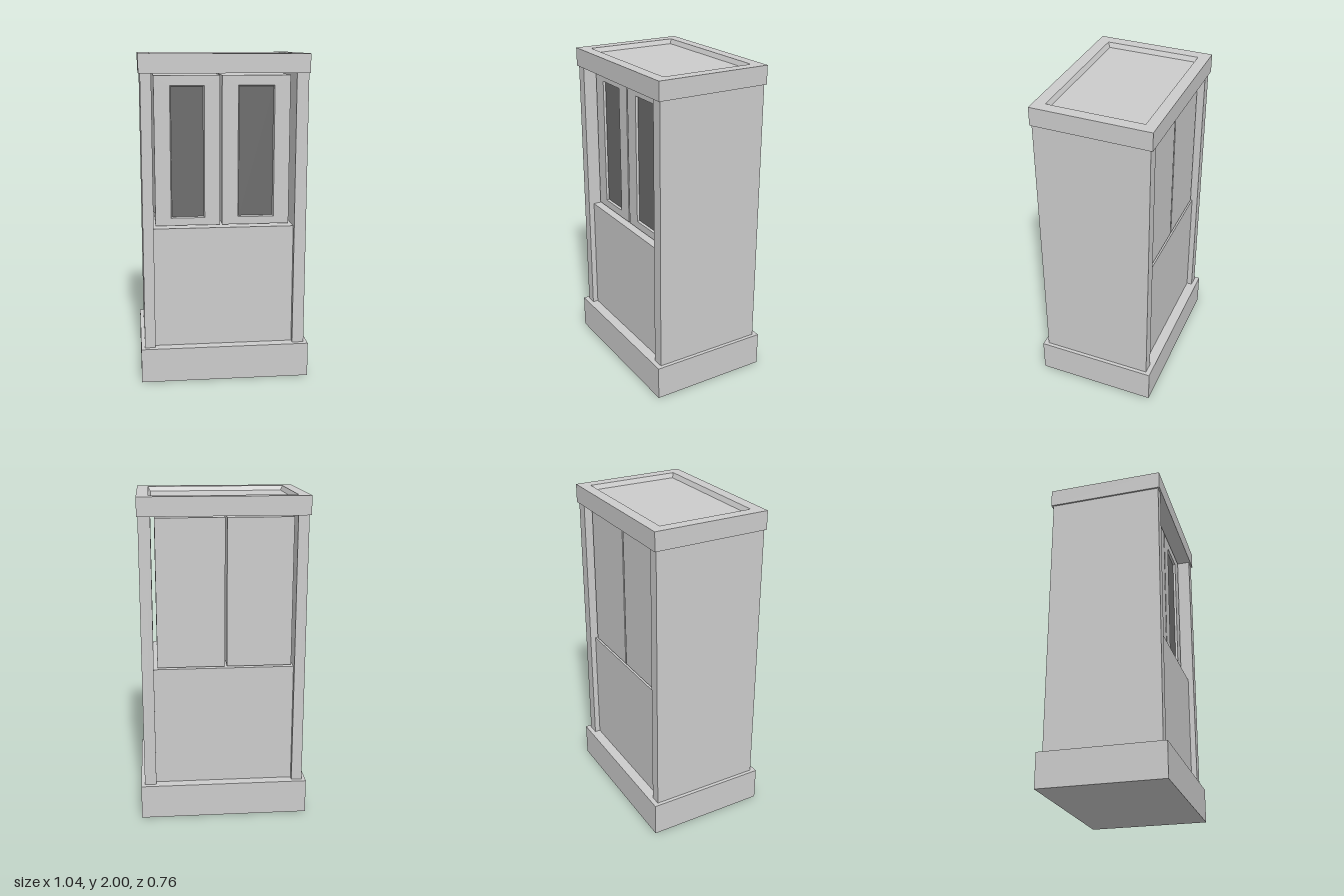
import * as THREE from 'three';

const grey = new THREE.MeshStandardMaterial({ color: 0xcccccc });
const dark = new THREE.MeshStandardMaterial({ color: 0x6c6c6c });

// Box given by its limits on each axis
function block(name, [x0, x1], [y0, y1], [z0, z1]) {
  const mesh = new THREE.Mesh(new THREE.BoxGeometry(x1 - x0, y1 - y0, z1 - z0), grey);
  mesh.position.set((x0 + x1) / 2, (y0 + y1) / 2, (z0 + z1) / 2);
  mesh.name = name;
  return mesh;
}

// Block with a recessed +z face, skinned over rectangular rings [x0, x1, y0, y1, z]
function insetBlock(name, rings) {
  const corners = rings.map(([x0, x1, y0, y1, z]) =>
    [[x0, y0, z], [x1, y0, z], [x1, y1, z], [x0, y1, z]]);
  const pos = [];
  const quad = (a, b, c, d) => pos.push(...a, ...b, ...c, ...a, ...c, ...d);
  for (let i = 0; i < corners.length - 1; i++) {
    for (let k = 0; k < 4; k++) {
      const n = (k + 1) % 4;
      quad(corners[i][k], corners[i][n], corners[i + 1][n], corners[i + 1][k]);
    }
  }
  const [a, b, c, d] = corners[0];
  quad(d, c, b, a);
  quad(...corners[corners.length - 1]);
  const geo = new THREE.BufferGeometry();
  geo.setAttribute('position', new THREE.Float32BufferAttribute(pos, 3));
  geo.computeVertexNormals();
  const mesh = new THREE.Mesh(geo, grey);
  mesh.name = name;
  return mesh;
}

export function createModel() {
  const model = new THREE.Group();
  model.name = 'cabinet';

  // Plinth, side walls and lower panel
  model.add(
    block('base', [-0.52, 0.52], [0, 0.213], [-0.38, 0.38]),
    block('rightWall', [-0.497, -0.432], [0.213, 1.887], [-0.35, 0.35]),
    block('leftWall', [0.425, 0.497], [0.213, 1.887], [-0.35, 0.35]),
    block('lowerPanel', [-0.432, 0.425], [0.213, 0.958], [-0.315, 0.315]),
  );

  // Roof with a shallow sloped tray in its top
  const roof = insetBlock('roof', [
    [-0.507, 0.504, -0.36, 0.363, 0],
    [-0.507, 0.504, -0.36, 0.363, 0.113],
    [-0.437, 0.434, -0.29, 0.295, 0.113],
    [-0.423, 0.42, -0.276, 0.281, 0.085],
  ]);
  roof.rotation.x = -Math.PI / 2;
  roof.position.y = 1.887;
  model.add(roof);

  // Pair of doors, each with a recessed dark window
  const doors = [
    ['rightDoor', -0.418, -0.022, -0.323, -0.117],
    ['leftDoor', -0.01, 0.402, 0.087, 0.308],
  ];
  const front = 0.272, back = -0.308, bevel = 0.006, depth = 0.015;
  for (const [name, x0, x1, wx0, wx1] of doors) {
    const door = new THREE.Group();
    door.name = name;
    const w = [wx0 + bevel, wx1 - bevel, 1.013 + bevel, 1.813 - bevel];
    door.add(insetBlock('doorFrame', [
      [x0, x1, 0.967, 1.873, back],
      [x0, x1, 0.967, 1.873, front],
      [wx0, wx1, 1.013, 1.813, front],
      [...w, front - depth],
    ]));
    const pane = new THREE.Mesh(new THREE.PlaneGeometry(w[1] - w[0], w[3] - w[2]), dark);
    pane.position.set((w[0] + w[1]) / 2, (w[2] + w[3]) / 2, front - depth + 0.002);
    pane.name = 'windowPane';
    door.add(pane);
    model.add(door);
  }
  return model;
}
